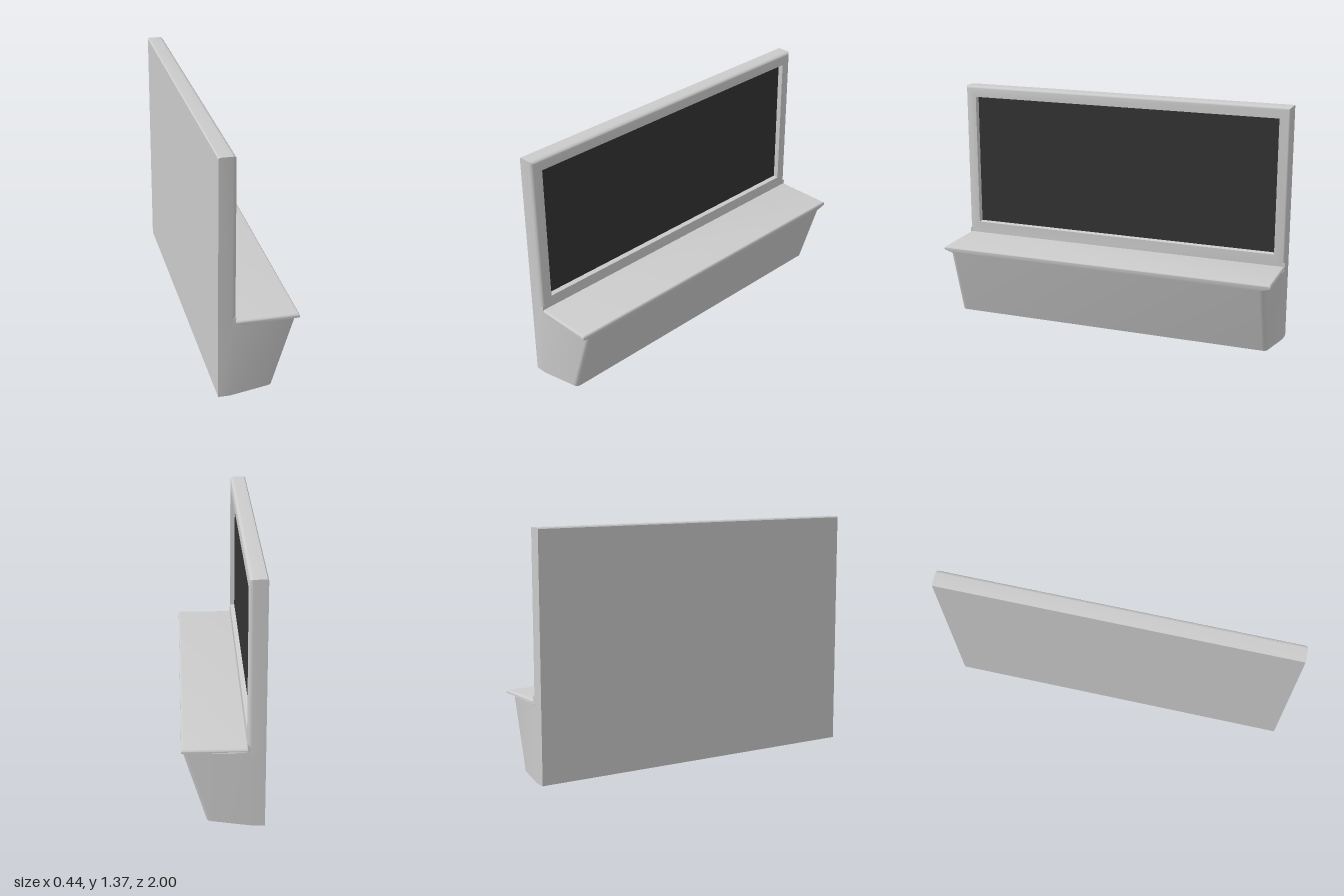
import * as THREE from 'three';
import { toCreasedNormals } from 'three/addons/utils/BufferGeometryUtils.js';

const grey = new THREE.MeshStandardMaterial({ color: 0xcccccc });
const dark = new THREE.MeshStandardMaterial({ color: 0x333333 });

// Skin a stack of rings (counter-clockwise seen from the last ring), with optional end caps
function loft(rings, capStart = true, capEnd = true) {
  const n = rings[0].length, last = (rings.length - 1) * n, index = [];
  for (let r = 0; r < rings.length - 1; r++) {
    for (let i = 0; i < n; i++) {
      const a = r * n + i, b = r * n + (i + 1) % n;
      index.push(a, b, b + n, a, b + n, a + n);
    }
  }
  for (let i = 1; i < n - 1; i++) {
    if (capStart) index.push(0, i + 1, i);
    if (capEnd) index.push(last, last + i, last + i + 1);
  }
  const g = new THREE.BufferGeometry();
  g.setAttribute('position', new THREE.Float32BufferAttribute(rings.flat(2), 3));
  g.setIndex(index);
  return toCreasedNormals(g.toNonIndexed(), 0.6);
}

// Half a footprint, from the back corner round the filleted front corner, then mirrored in z
function footprint(bend, front, yBack, yFront) {
  const half = [[-0.22, yBack, 1], [bend, yBack, 1]], r = 0.03;
  for (let i = 0; i <= 5; i++) {
    const t = i / 5 * Math.PI / 2;
    half.push([front - r + r * Math.sin(t), yFront, 0.935 + r * Math.cos(t)]);
  }
  return [...half, ...half.map(([x, y, z]) => [x, y, -z]).reverse()];
}

// Horizontal ring for the ledge; the front may be narrower and lower than the back
const ledgeRing = (front, yBack, yFront, zBack, zFront) => [
  [-0.14, yBack, zBack], [front, yFront, zFront], [front, yFront, -zFront], [-0.14, yBack, -zBack]];

// Upright rectangular ring facing +x
const frameRing = (x, z, y0, y1) => [[x, y0, z], [x, y0, -z], [x, y1, -z], [x, y1, z]];

export function createModel() {
  const model = new THREE.Group();
  const add = (name, geometry, material = grey) => {
    const mesh = new THREE.Mesh(geometry, material);
    mesh.name = name;
    model.add(mesh);
    return mesh;
  };

  // Base leaning outwards towards the ledge
  add('base', loft([footprint(-0.155, 0.085, 0, 0.01), footprint(-0.125, 0.21, 0.43, 0.413)]));

  // Ledge with flared underside and rounded upper edge
  const ledge = [
    ledgeRing(0.21, 0.42, 0.411, 0.995, 0.945),
    ledgeRing(0.216, 0.436, 0.43, 1, 1),
  ];
  for (let i = 0; i <= 4; i++) {
    const t = i / 4 * Math.PI / 2, inset = 0.012 * (1 - Math.cos(t)), y = 0.438 + 0.012 * Math.sin(t);
    ledge.push(ledgeRing(0.217 - inset, y, y, 1 - inset, 1 - inset));
  }
  add('ledge', loft(ledge));

  // Upright panel: small back bevel, rounded front edge, recessed opening
  const top = 1.37, panel = [frameRing(-0.22, 1, 0.43, top - 0.006), frameRing(-0.214, 1, 0.43, top)];
  for (let i = 0; i <= 5; i++) {
    const t = i / 5 * Math.PI / 2, inset = 0.02 * (1 - Math.cos(t));
    panel.push(frameRing(-0.145 + 0.02 * Math.sin(t), 1 - inset, 0.43, top - inset));
  }
  panel.push(frameRing(-0.125, 0.935, 0.517, 1.305), frameRing(-0.152, 0.93, 0.522, 1.3));
  add('panelFrame', loft(panel, true, false));

  // Screen set into the opening
  const screen = add('screen', new THREE.PlaneGeometry(1.86, 0.778), dark);
  screen.rotation.y = Math.PI / 2;
  screen.position.set(-0.152, 0.911, 0);

  // Small mitre wedges where the ledge meets the panel
  const wedge = new THREE.Shape([
    new THREE.Vector2(-0.155, 0.45), new THREE.Vector2(-0.125, 0.42), new THREE.Vector2(-0.125, 0.475)]);
  for (const side of [1, -1]) {
    const mitre = add(side > 0 ? 'leftMitre' : 'rightMitre',
      new THREE.ExtrudeGeometry(wedge, { depth: 0.025, bevelEnabled: false }));
    mitre.position.z = side > 0 ? 0.975 : -1;
  }
  return model;
}
